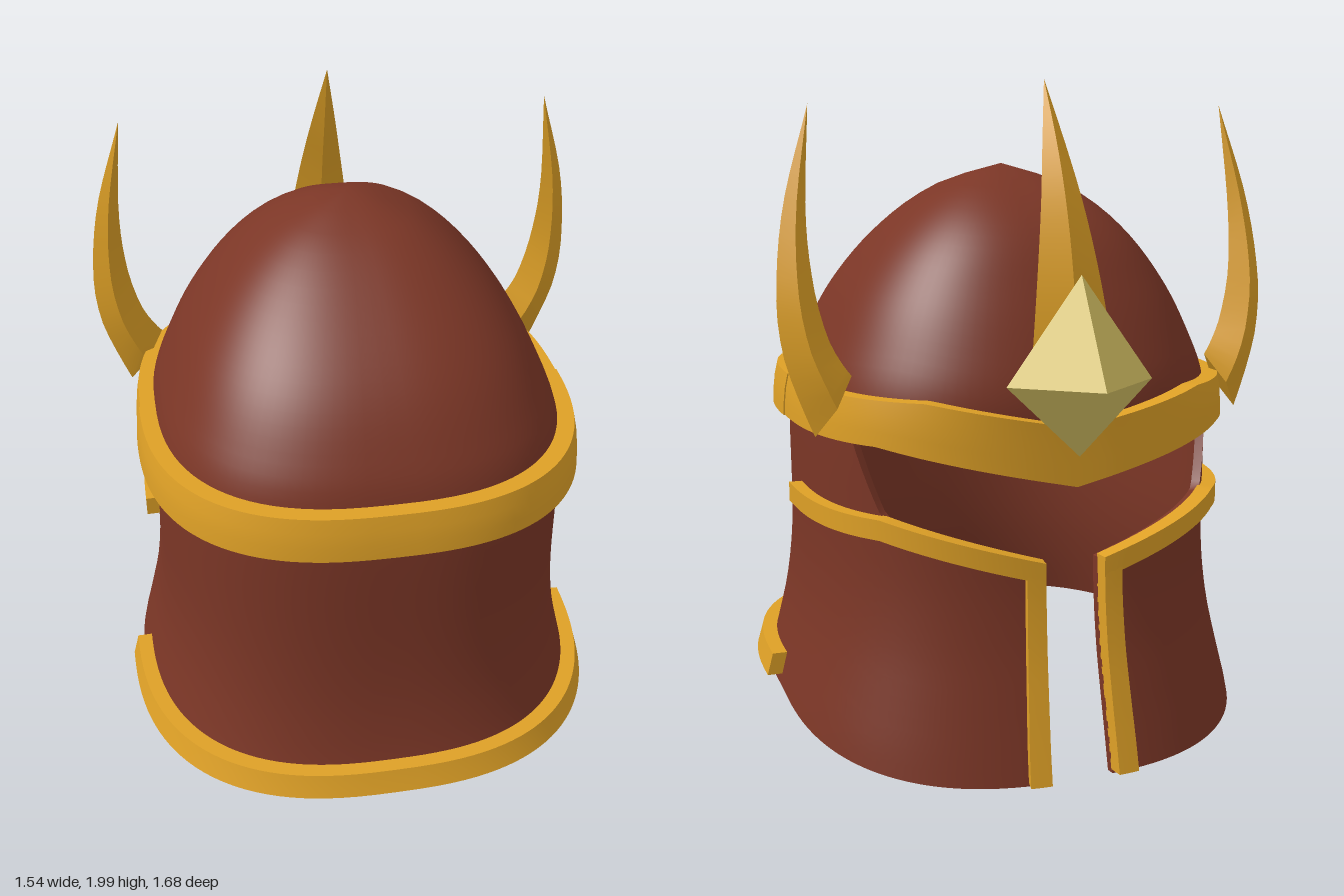
import * as THREE from 'three';
import { mergeVertices, mergeGeometries } from 'three/addons/utils/BufferGeometryUtils.js';

const material = (name, color) => new THREE.MeshStandardMaterial({ name, color, side: THREE.DoubleSide });
const { PI } = Math, lerp = THREE.MathUtils.lerp, clamp = THREE.MathUtils.clamp;

// Helmet profile: height, half width, reach towards the face (-z), reach towards the nape (+z)
const PROFILE = [
  [0, 0.735, 0.705, 0.82], [0.12, 0.715, 0.68, 0.803], [0.22, 0.69, 0.66, 0.77],
  [0.4, 0.65, 0.628, 0.735], [0.6, 0.63, 0.61, 0.72], [1.0, 0.63, 0.61, 0.715],
  [1.1, 0.62, 0.61, 0.7], [1.2, 0.588, 0.585, 0.665], [1.4, 0.487, 0.5, 0.535],
  [1.58, 0.34, 0.385, 0.335], [1.7, 0.172, 0.215, 0.14], [1.755, 0, 0.04, -0.04],
];

// Smooth interpolation of column k of a table keyed by its first column
function smooth(P, y, k) {
  const last = P.length - 1;
  let i = 0;
  while (i < last - 1 && y > P[i + 1][0]) i++;
  const slope = (j) => {
    const a = P[Math.max(j - 1, 0)], b = P[Math.min(j + 1, last)];
    return (b[k] - a[k]) / (b[0] - a[0]);
  };
  const h = P[i + 1][0] - P[i][0], t = clamp((y - P[i][0]) / h, 0, 1), t2 = t * t, t3 = t2 * t;
  return (2 * t3 - 3 * t2 + 1) * P[i][k] + (t3 - 2 * t2 + t) * h * slope(i)
    + (3 * t2 - 2 * t3) * P[i + 1][k] + (t3 - t2) * h * slope(i + 1);
}

// Point on the helmet wall: angle 0 is the face, PI the nape; off pushes outwards
function wall(th, y, off = 0) {
  const c = Math.cos(th), s = Math.sin(th);
  const zc = lerp(0.03, -0.04, clamp((y - 1.1) / 0.655, 0, 1));
  const half = c > 0 ? smooth(PROFILE, y, 2) + zc : smooth(PROFILE, y, 3) - zc;
  const pow = (v) => Math.sign(v) * Math.abs(v) ** (2 / 2.6);
  return [Math.max(0, smooth(PROFILE, y, 1) + off) * pow(s), y, zc - Math.max(0, half + off) * pow(c)];
}

// Grid surface from a function of (u, v)
function sheet(fn, nu, nv, flat = false) {
  const pos = [], index = [];
  for (let j = 0; j <= nv; j++) for (let i = 0; i <= nu; i++) pos.push(...fn(i / nu, j / nv));
  for (let j = 0; j < nv; j++) for (let i = 0; i < nu; i++) {
    const a = j * (nu + 1) + i, b = a + 1, c = a + nu + 1, d = c + 1;
    index.push(a, b, d, a, d, c);
  }
  let g = new THREE.BufferGeometry();
  g.setAttribute('position', new THREE.Float32BufferAttribute(pos, 3));
  g.setIndex(index);
  g = flat ? g.toNonIndexed() : mergeVertices(g, 1e-4);
  g.computeVertexNormals();
  return g;
}

// Curved plate on the wall between two angles and two edge curves, with thickness
function plate(th0, th1, low, high, inner, outer, nu, nv) {
  const at = (u, v, off) => {
    const th = lerp(th0, th1, u);
    return wall(th, lerp(low(th), high(th), v), off);
  };
  const off = (w) => lerp(inner, outer, w);
  return mergeGeometries([
    sheet((u, v) => at(u, v, outer), nu, nv),
    sheet((u, v) => at(1 - u, v, inner), nu, nv),
    sheet((u, w) => at(u, 0, off(w)), nu, 1),
    sheet((u, w) => at(1 - u, 1, off(w)), nu, 1),
    sheet((v, w) => at(0, 1 - v, off(w)), nv, 1),
    sheet((v, w) => at(1, v, off(w)), nv, 1),
  ]);
}

// Curved four-sided blade; row: progress, outer a, b, inner a, b, centre c, half thickness
function blade(rows, place) {
  const N = 16;
  const corner = (k, v) => {
    const [a, b, a2, b2, c, r] = [1, 2, 3, 4, 5, 6].map((i) => smooth(rows, v, i));
    if (k === 0) return place(a, b, c);
    if (k === 2) return place(a2, b2, c);
    return place((a + a2) / 2, (b + b2) / 2, c + (k === 1 ? r : -r));
  };
  const sides = [0, 1, 2, 3].map((k) =>
    sheet((u, v) => corner(u < 0.5 ? k : (k + 1) % 4, v), 1, N));
  const base = sheet((u, v) => corner(v < 0.5 ? (u < 0.5 ? 0 : 1) : (u < 0.5 ? 3 : 2), 0), 1, 1);
  return mergeGeometries([...sides, base]);
}

// Edge curves by angle
const dip = (th, reach) => Math.cos(th) > 0 ? clamp((reach - Math.abs(wall(th, 0.8)[0])) / reach, 0, 1) : 0;
const hem = (th) => 0.12 - 0.11 * clamp((0.05 - wall(th, 0.3)[2]) / 0.7, 0, 1) ** 1.3;
const cheekTop = (th) => 0.777 - 0.15 * dip(th, 0.5);
const neckTop = (th) => {
  const z = wall(th, 0.8)[2];
  return lerp(cheekTop(th) - 0.01, 1.02, clamp((z + 0.43) / 0.11, 0, 1));
};
const browLow = (th) => 0.99 - 0.12 * dip(th, 0.5);
const browHigh = (th) => 1.12 - 0.08 * dip(th, 0.4);

export function createModel() {
  const model = new THREE.Group();
  model.name = 'hornedHelmet';
  const leather = material('russet', 0x7b3626);
  const gold = material('gold', 0xdea026);
  const crystal = material('paleGold', 0xdac566);
  const add = (name, geometry, mat) => {
    const mesh = new THREE.Mesh(geometry, mat);
    mesh.name = name;
    model.add(mesh);
  };
  const GAP = 0.075, SIDE = PI / 2 + 0.014;

  // Shell
  add('skull', plate(0, 2 * PI, (th) => browLow(th) + 0.02, () => 1.755, -0.025, 0, 96, 24), leather);
  add('neckAndCheeks', plate(GAP, 2 * PI - GAP, hem, neckTop, -0.025, 0, 160, 16), leather);

  // Bands
  add('browBandBack', plate(SIDE, 2 * PI - SIDE, () => 0.99, () => 1.12, -0.01, 0.05, 64, 3), gold);
  add('browBandFront', plate(-SIDE, SIDE, browLow, browHigh, -0.01, 0.046, 64, 3), gold);
  add('hemBand', plate(SIDE, 2 * PI - SIDE, () => 0.15, () => 0.22, -0.01, 0.046, 64, 2), gold);

  // Cheek trims
  for (const [side, s] of [['left', 1], ['right', -1]]) {
    add(side + 'CheekTrim', plate(s * GAP, s * SIDE, (th) => cheekTop(th) - 0.06, cheekTop, -0.005, 0.04, 40, 1), gold);
    add(side + 'MouthTrim', plate(s * GAP, s * 0.14, (th) => hem(th) + 0.01, (th) => cheekTop(th) - 0.05, -0.005, 0.04, 3, 14), gold);
  }

  // Side horns
  const sideRows = [
    [0, 0.675, 1.0, 0.565, 1.17, -0.335, 0.045], [0.12, 0.718, 1.11, 0.59, 1.205, -0.327, 0.055],
    [0.27, 0.757, 1.24, 0.627, 1.28, -0.315, 0.052], [0.45, 0.768, 1.4, 0.66, 1.42, -0.3, 0.043],
    [0.72, 0.735, 1.65, 0.671, 1.63, -0.266, 0.025], [1, 0.65, 1.93, 0.65, 1.93, -0.23, 0],
  ];
  for (const [side, s] of [['left', 1], ['right', -1]])
    add(side + 'Horn', blade(sideRows, (a, b, c) => [s * a, b, c]), gold);

  // Forehead horn
  const frontRows = [
    [0, 0.65, 1.15, 0.58, 1.15, 0, 0.13], [0.18, 0.635, 1.3, 0.57, 1.3, 0, 0.115],
    [0.39, 0.605, 1.48, 0.54, 1.47, 0, 0.092], [0.61, 0.55, 1.67, 0.5, 1.64, 0, 0.064],
    [0.8, 0.48, 1.83, 0.447, 1.8, 0, 0.036], [1, 0.385, 2, 0.385, 2, 0, 0],
  ];
  add('foreheadHorn', blade(frontRows, (a, b, c) => [c, b, -a]), gold);

  // Forehead crystal: a pointed diamond on a shallow back
  const ring = [[0.22, 1.17], [0, 1.47], [-0.22, 1.17], [0, 0.96]];
  add('crystal', sheet((u, v) => {
    const [x, y] = ring[Math.round(u * 4) % 4];
    return v === 0.5 ? [x, y, -0.665] : [0, 1.17, v < 0.5 ? -0.63 : -0.84];
  }, 4, 2, true), crystal);

  return model;
}
